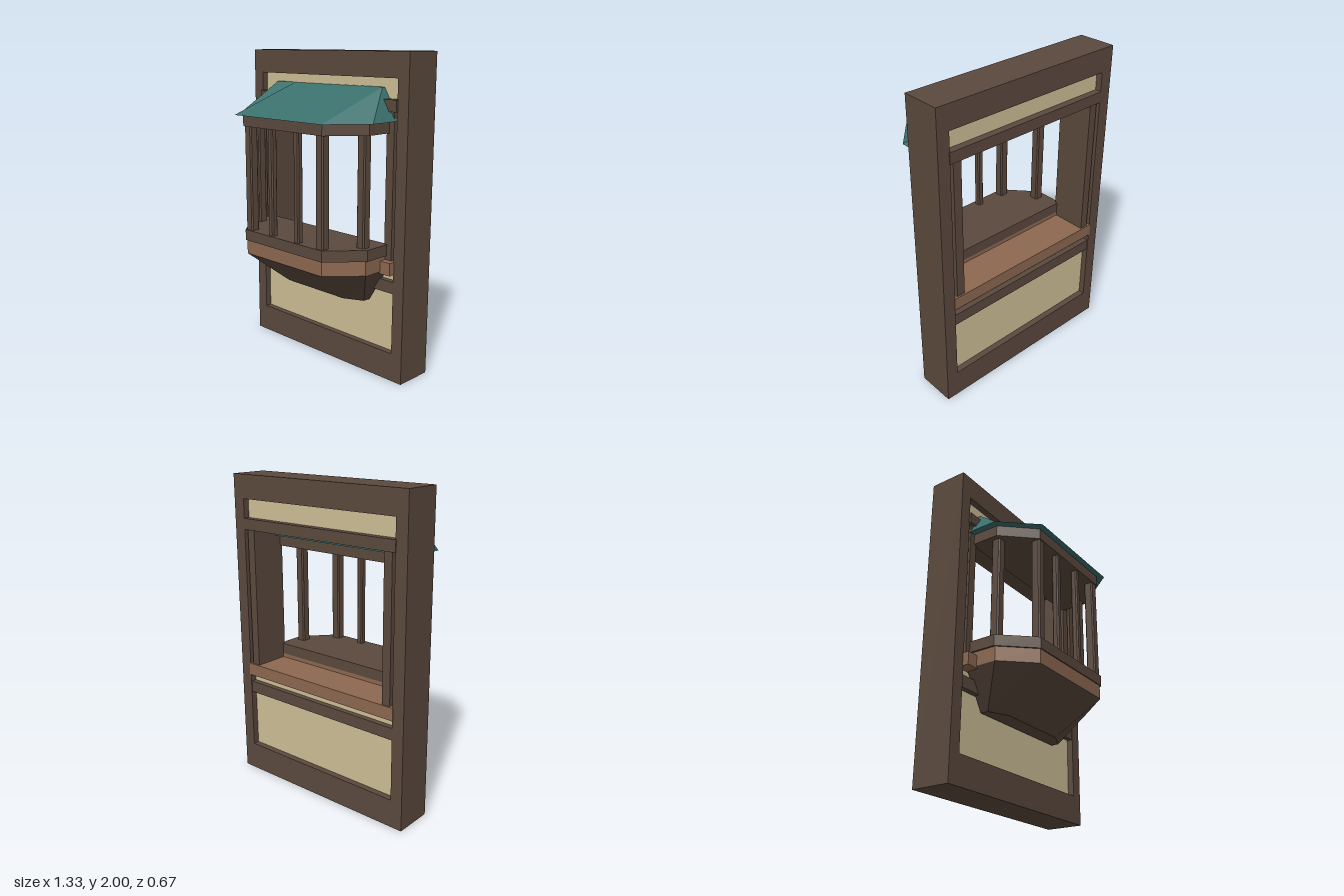
import * as THREE from 'three';

const mat = (name, color) => {
  const m = new THREE.MeshStandardMaterial({ color });
  m.name = name;
  return m;
};

// Bay outline: a half hexagon open to the wall, from half widths and depths.
// hs/zs = side corner, hf/zf = front corner, zb = back edge.
const outline = ([y, hs, zs, hf, zf, zb]) => [
  [-hs, zb], [-hs, zs], [-hf, zf], [hf, zf], [hs, zs], [hs, zb],
].map(([x, z]) => [x, y, z]);

// Closed solid between two bay outlines, with flat faces.
function bayLoft(lower, upper) {
  const a = outline(lower), b = outline(upper), pos = [];
  const tri = (...pts) => pts.forEach((p) => pos.push(...p));
  for (let i = 0; i < 6; i++) {
    const j = (i + 1) % 6;
    tri(a[i], a[j], b[j]);
    tri(a[i], b[j], b[i]);
  }
  for (let i = 1; i < 5; i++) {
    tri(b[0], b[i], b[i + 1]);
    tri(a[0], a[i + 1], a[i]);
  }
  const g = new THREE.BufferGeometry();
  g.setAttribute('position', new THREE.Float32BufferAttribute(pos, 3));
  g.computeVertexNormals();
  return g;
}

// Upright post with small chamfers on its four edges.
function postGeometry(width, y0, y1) {
  const h = width / 2, c = 0.008, k = h - c;
  const s = new THREE.Shape([
    [h, -k], [h, k], [k, h], [-k, h], [-h, k], [-h, -k], [-k, -h], [k, -h],
  ].map(([x, y]) => new THREE.Vector2(x, y)));
  const g = new THREE.ExtrudeGeometry(s, { depth: y1 - y0, bevelEnabled: false });
  return g.rotateX(-Math.PI / 2).translate(0, y0, 0);
}

export function createModel() {
  const timber = mat('dark timber', 0x5b493d);
  const plaster = mat('plaster', 0xcdbe96);
  const sillWood = mat('light wood', 0x8c6850);
  const teal = mat('teal roof', 0x3a706d);
  const model = new THREE.Group();
  model.name = 'bayWindow';

  const add = (name, geometry, material) => {
    const m = new THREE.Mesh(geometry, material);
    m.name = name;
    model.add(m);
    return m;
  };
  const box = (name, x0, x1, y0, y1, z0, z1, material) =>
    add(name, new THREE.BoxGeometry(x1 - x0, y1 - y0, z1 - z0)
      .translate((x0 + x1) / 2, (y0 + y1) / 2, (z0 + z1) / 2), material);

  // Outer wall frame with a rectangular opening
  const rect = (Type, x, y0, y1) => new Type([
    new THREE.Vector2(-x, y0), new THREE.Vector2(x, y0),
    new THREE.Vector2(x, y1), new THREE.Vector2(-x, y1),
  ]);
  const frame = rect(THREE.Shape, 0.665, 0, 2);
  frame.holes.push(rect(THREE.Path, 0.585, 0.18, 1.85));
  add('wallFrame', new THREE.ExtrudeGeometry(frame, { depth: 0.25, bevelEnabled: false })
    .translate(0, 0, -0.33), timber);

  // Recessed plaster above and below the window
  box('lowerPlaster', -0.585, 0.585, 0.18, 0.7, -0.29, -0.12, plaster);
  box('upperPlaster', -0.585, 0.585, 1.7, 1.85, -0.29, -0.12, plaster);

  // Rails across the wall and the wooden window sill
  box('lowerRail', -0.585, 0.585, 0.565, 0.64, -0.325, -0.085, timber);
  box('upperRail', -0.59, 0.59, 1.66, 1.73, -0.335, -0.065, timber);
  box('windowSill', -0.59, 0.59, 0.69, 0.77, -0.335, -0.04, sillWood);

  // Jambs and the plaster strips beside them
  for (const s of [-1, 1]) {
    const side = s < 0 ? 'right' : 'left';
    const span = (a, b) => [Math.min(s * a, s * b), Math.max(s * a, s * b)];
    box(side + 'Jamb', ...span(0.507, 0.562), 0.77, 1.66, -0.325, -0.085, timber);
    box(side + 'PlasterStrip', ...span(0.562, 0.585), 0.77, 1.66, -0.29, -0.12, plaster);
  }

  // Bay: tapered base, wooden band, floor slab and head slab
  add('bayBase', bayLoft([0.475, 0.375, -0.06, 0.25, 0, -0.11],
    [0.705, 0.515, 0.09, 0.34, 0.283, -0.11]), timber);
  add('bayBand', bayLoft([0.705, 0.515, 0.09, 0.34, 0.283, -0.1],
    [0.795, 0.515, 0.09, 0.34, 0.283, -0.1]), sillWood);
  for (const [name, y] of [['baySlab', 0.795], ['bayHead', 1.535]]) {
    add(name, bayLoft([y, 0.527, 0.09, 0.348, 0.29, -0.1],
      [y + 0.07, 0.527, 0.09, 0.348, 0.29, -0.1]), timber);
  }

  // Hipped roof leaning against the wall
  add('bayRoof', bayLoft([1.605, 0.57, 0.11, 0.382, 0.33, -0.14],
    [1.795, 0.455, -0.1, 0.31, -0.125, -0.14]), teal);

  // Window posts, mirrored left and right: x, z, width
  for (const [name, x, z, w] of [
    ['sidePost', 0.465, 0.06, 0.06],
    ['cornerPost', 0.318, 0.252, 0.06],
    ['frontPost', 0.115, 0.255, 0.043],
  ]) {
    for (const s of [-1, 1]) add(name, postGeometry(w, 0.865, 1.535), timber).position.set(s * x, 0, z);
  }
  return model;
}
